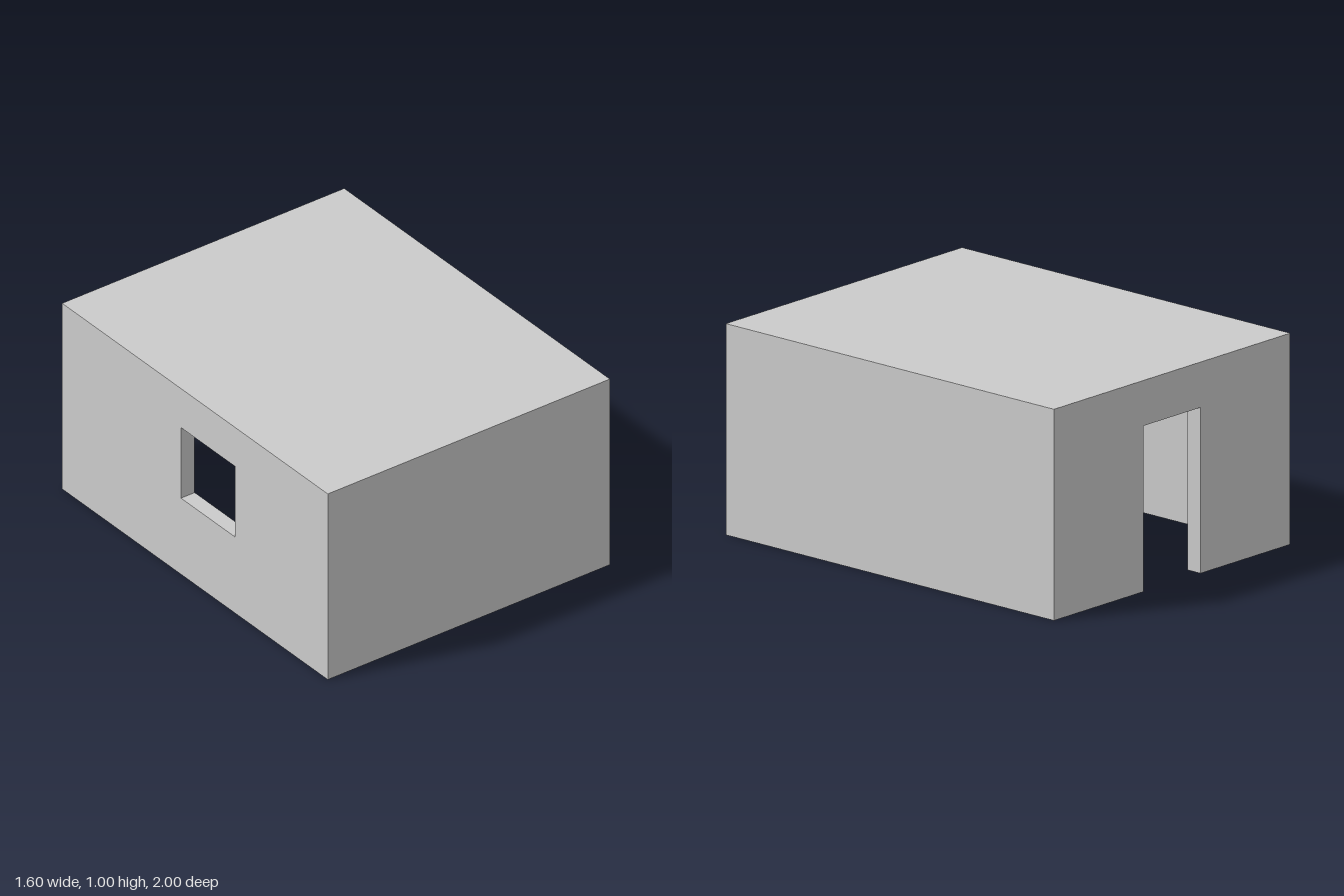
import * as THREE from 'three';

const W = 1.6, H = 1, D = 2, T = 0.078; // outer size and wall thickness
const WALL_H = H - T;

export function createModel() {
  const group = new THREE.Group();
  group.name = 'house';
  const material = new THREE.MeshStandardMaterial({ color: 0xcccccc, flatShading: true });

  const add = (name, geometry, x, y, z) => {
    const mesh = new THREE.Mesh(geometry, material);
    mesh.name = name;
    mesh.position.set(x, y, z);
    group.add(mesh);
  };
  const extrude = (shape) => new THREE.ExtrudeGeometry(shape, { depth: T, bevelEnabled: false });
  const polygon = (points) => points.map(([x, y]) => new THREE.Vector2(x, y));

  // Flat roof slab; the building has no floor
  add('roof', new THREE.BoxGeometry(W, T, D), 0, H - T / 2, 0);

  // Solid front wall and left wall
  add('frontWall', new THREE.BoxGeometry(W, WALL_H, T), 0, WALL_H / 2, D / 2 - T / 2);
  add('leftWall', new THREE.BoxGeometry(T, WALL_H, D - 2 * T), W / 2 - T / 2, WALL_H / 2, 0);

  // Back wall with a doorway open to the ground
  const door = 0.192, doorTop = 0.785;
  const back = new THREE.Shape(polygon([
    [-W / 2, 0], [-door, 0], [-door, doorTop], [door, doorTop],
    [door, 0], [W / 2, 0], [W / 2, WALL_H], [-W / 2, WALL_H],
  ]));
  add('backWallWithDoorway', extrude(back), 0, 0, -D / 2);

  // Right wall with a window, drawn along z and turned into place
  const half = D / 2 - T;
  const side = new THREE.Shape(polygon([[-half, 0], [half, 0], [half, WALL_H], [-half, WALL_H]]));
  side.holes.push(new THREE.Path(polygon([[-0.105, 0.41], [-0.105, 0.79], [0.3, 0.79], [0.3, 0.41]])));
  add('rightWallWithWindow', extrude(side).rotateY(-Math.PI / 2), -W / 2 + T, 0, 0);

  return group;
}
